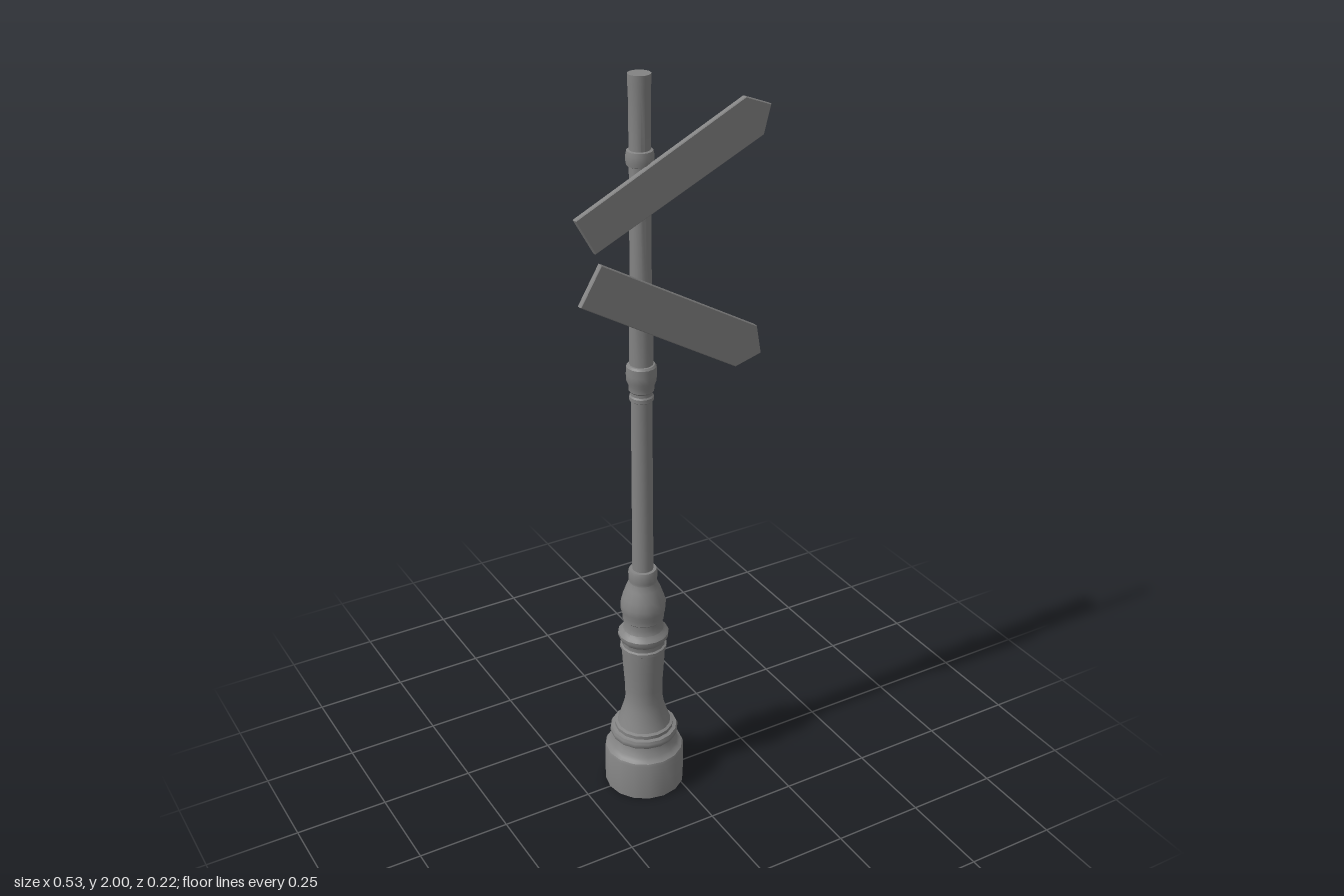
import * as THREE from 'three';
import { toCreasedNormals } from 'three/addons/utils/BufferGeometryUtils.js';

const material = new THREE.MeshStandardMaterial({ color: 0x838383 });
const POLE_X = -0.071;

// Turned part from [radius, height] pairs, listed from bottom to top
function turned(name, profile) {
  const points = profile.map(([r, y]) => new THREE.Vector2(r, y));
  const mesh = new THREE.Mesh(toCreasedNormals(new THREE.LatheGeometry(points, 16), 0.6), material);
  mesh.name = name;
  mesh.position.x = POLE_X;
  return mesh;
}

// Flat board with a slim edge bevel, corners listed counter-clockwise
function board(name, corners, zBack, zFront) {
  const bevel = 0.002;
  const shape = new THREE.Shape(corners.map(([x, y]) => new THREE.Vector2(x, y)));
  const geometry = new THREE.ExtrudeGeometry(shape, {
    depth: zFront - zBack - 2 * bevel,
    bevelEnabled: true, bevelThickness: bevel, bevelSize: bevel, bevelOffset: -bevel, bevelSegments: 1,
  });
  geometry.translate(0, 0, zBack + bevel);
  const mesh = new THREE.Mesh(geometry, material);
  mesh.name = name;
  return mesh;
}

export function createModel() {
  const group = new THREE.Group();
  group.name = 'signpost';

  // Drum foot with stepped moulding
  group.add(turned('foot', [
    [0, 0], [0.109, 0], [0.109, 0.108], [0.106, 0.115], [0.098, 0.12], [0.092, 0.128], [0.082, 0.147],
    [0.081, 0.155], [0.09, 0.157], [0.093, 0.163], [0.093, 0.172], [0.09, 0.178],
    [0.08, 0.18], [0.08, 0.19], [0.072, 0.195], [0, 0.195],
  ]));

  // Waisted pedestal and its ringed, bulbous top
  group.add(turned('pedestal', [
    [0.074, 0.192], [0.064, 0.22], [0.055, 0.25], [0.051, 0.275], [0.051, 0.31], [0.056, 0.38],
    [0.059, 0.435], [0.063, 0.438], [0.063, 0.447], [0.058, 0.45], [0.058, 0.462],
    [0.064, 0.468], [0.068, 0.478], [0.068, 0.486], [0.062, 0.493], [0.055, 0.5],
    [0.052, 0.515], [0.052, 0.528], [0.056, 0.532], [0.056, 0.545], [0.06, 0.56], [0.061, 0.578],
    [0.055, 0.6], [0.045, 0.628], [0.037, 0.645], [0.038, 0.652], [0.039, 0.675],
    [0.036, 0.683], [0.027, 0.684],
  ]));

  // Lower shaft
  group.add(turned('shaft', [[0.028, 0.68], [0.027, 1.19]]));

  // Bulged collar between the two shafts
  group.add(turned('collar', [
    [0.027, 1.175], [0.031, 1.178], [0.031, 1.188], [0.028, 1.192], [0.028, 1.2],
    [0.032, 1.204], [0.033, 1.22], [0.038, 1.232], [0.039, 1.25], [0.038, 1.27],
    [0.034, 1.275], [0.03, 1.276],
  ]));

  // Upper shaft with two clamp rings and a closed top
  group.add(turned('upperShaft', [
    [0.03, 1.27], [0.03, 1.45], [0.037, 1.452], [0.039, 1.457], [0.037, 1.463], [0.027, 1.465],
    [0.026, 1.782], [0.032, 1.785], [0.034, 1.795], [0.034, 1.81], [0.032, 1.82], [0.026, 1.822],
    [0.0265, 1.96], [0.028, 1.98], [0.028, 2], [0, 2],
  ]));

  // Pointed boards
  group.add(board('upperSign', [
    [-0.265, 1.695], [-0.214, 1.604], [0.243, 1.818], [0.262, 1.89], [0.19, 1.918],
  ], 0.029, 0.044));
  group.add(board('lowerSign', [
    [-0.26, 1.482], [0.173, 1.229], [0.248, 1.25], [0.234, 1.328], [-0.203, 1.578],
  ], 0.034, 0.05));

  return group;
}
